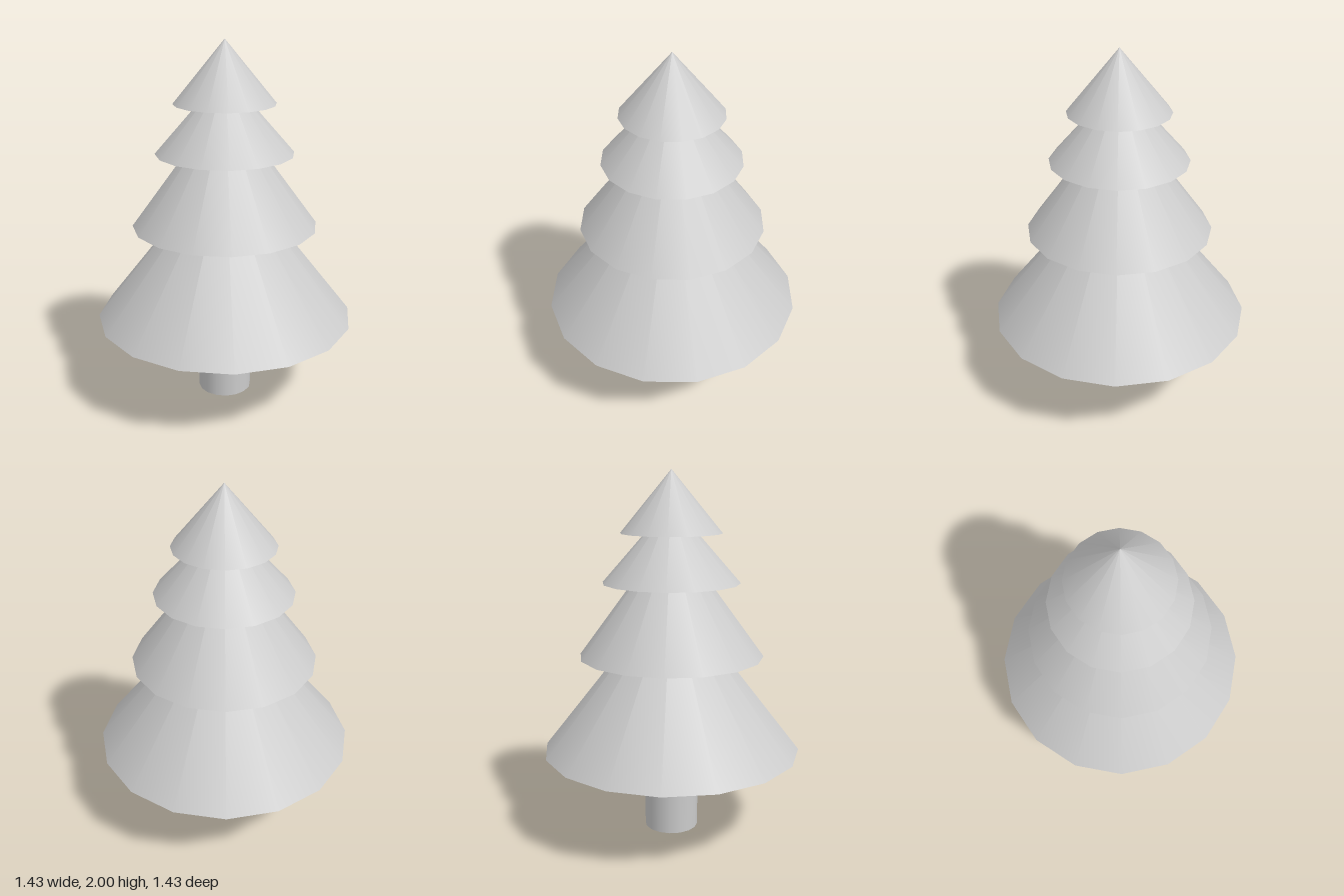
import * as THREE from 'three';

const SIDES = 16;

export function createModel() {
  const tree = new THREE.Group();
  tree.name = 'tree';
  const material = new THREE.MeshStandardMaterial({ color: 0xcccccc });

  function add(name, geometry, bottom, height) {
    const mesh = new THREE.Mesh(geometry, material);
    mesh.name = name;
    mesh.position.y = bottom + height / 2;
    tree.add(mesh);
  }

  // Trunk, running slightly into the lowest tier
  add('trunk', new THREE.CylinderGeometry(0.15, 0.15, 0.5, SIDES), 0, 0.5);

  // Overlapping foliage cones: [name, base radius, base y, apex y]
  const tiers = [
    ['lowestFoliage', 0.715, 0.467, 1.377],
    ['lowerFoliage', 0.507, 1.0, 1.69],
    ['upperFoliage', 0.375, 1.402, 1.83],
    ['topFoliage', 0.275, 1.667, 2.0],
  ];
  for (const [name, radius, base, apex] of tiers) {
    const height = apex - base;
    add(name, new THREE.ConeGeometry(radius, height, SIDES), base, height);
  }

  return tree;
}
